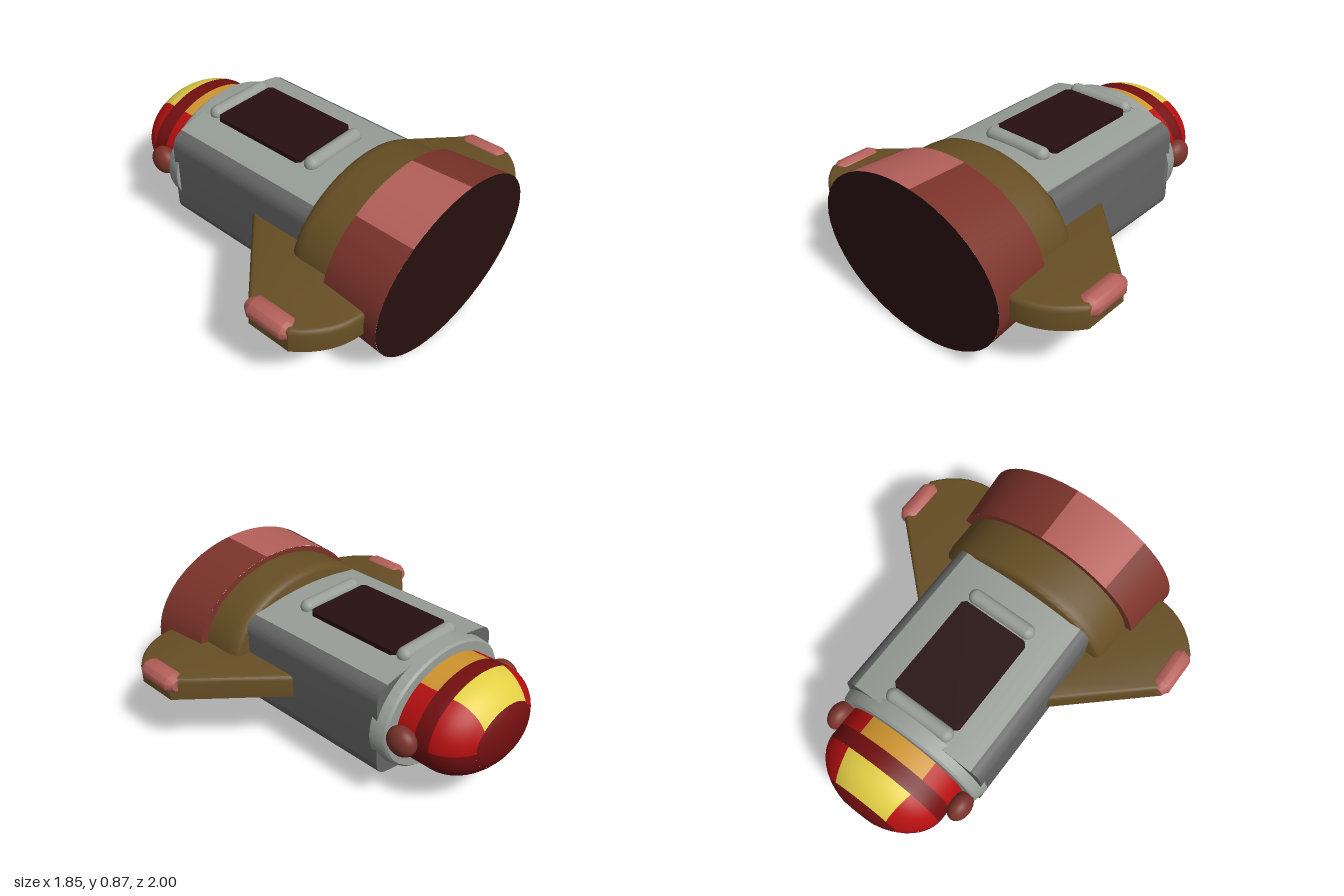
import * as THREE from 'three';
import { toCreasedNormals } from 'three/addons/utils/BufferGeometryUtils.js';

const paint = (name, color) => {
  const m = new THREE.MeshStandardMaterial({ color });
  m.name = name;
  return m;
};
const CY = 0.44; // height of the hull axis

// Skin of elliptical rings [z, rx, ry] in order of rising z, between angles from(z) and to(z)
function skin(rings, from = () => 0, to = () => Math.PI * 2, segs = 48) {
  const pos = [], index = [];
  for (const [z, rx, ry] of rings) {
    for (let j = 0; j <= segs; j++) {
      const t = from(z) + (to(z) - from(z)) * j / segs;
      pos.push(rx * Math.cos(t), CY + ry * Math.sin(t), z);
    }
  }
  const w = segs + 1;
  for (let i = 0; i < rings.length - 1; i++) {
    for (let j = 0; j < segs; j++) {
      const a = i * w + j, b = a + 1, c = b + w, d = a + w;
      index.push(a, b, c, a, c, d);
    }
  }
  const g = new THREE.BufferGeometry();
  g.setAttribute('position', new THREE.Float32BufferAttribute(pos, 3));
  g.setIndex(index);
  return toCreasedNormals(g, 0.6);
}

export function createModel() {
  const group = new THREE.Group();
  const mat = {
    lightGrey: paint('lightGrey', 0x989e98),
    darkGrey: paint('darkGrey', 0x646464),
    rust: paint('rust', 0x7a332a),
    pink: paint('pink', 0xb5605a),
    brown: paint('brown', 0x664e24),
    red: paint('red', 0xb50f10),
    darkRed: paint('darkRed', 0x720f10),
    yellow: paint('yellow', 0xe3cf45),
    orange: paint('orange', 0xcf942e),
    black: paint('black', 0x280f10),
  };
  const add = (name, geometry, material, x = 0, y = 0, z = 0) => {
    const m = new THREE.Mesh(geometry, material);
    m.name = name;
    m.position.set(x, y, z);
    group.add(m);
    return m;
  };
  const angle = (t) => () => t;

  // Flared nozzle with a pink patch above and below
  const flare = [[0.66, 0.575, 0.42], [1, 0.605, 0.435]];
  const p0 = Math.acos(0.07 / 0.59), p1 = Math.acos(-0.36 / 0.59), turn = Math.PI * 2;
  add('nozzleRightSide', skin(flare, angle(p1), angle(turn - p1)), mat.rust);
  add('nozzleLeftSide', skin(flare, angle(-p0), angle(p0)), mat.rust);
  add('nozzleTopPatch', skin(flare, angle(p0), angle(p1)), mat.pink);
  add('nozzleBottomPatch', skin(flare, angle(turn - p1), angle(turn - p0)), mat.pink);
  add('nozzleRim', skin([[0.66, 0, 0], [0.66, 0.575, 0.42]]), mat.rust);
  add('nozzleMouth', skin([[1, 0.605, 0.435], [1, 0, 0]]), mat.black);

  // Rounded collar
  add('collar', skin([[0.41, 0, 0], [0.41, 0.5, 0.355], [0.418, 0.517, 0.372], [0.44, 0.53, 0.385],
    [0.48, 0.535, 0.39], [0.67, 0.535, 0.39]]), mat.brown);

  // Hull with softly arched top and bottom
  const section = new THREE.Shape();
  section.moveTo(-0.37, 0.70);
  section.quadraticCurveTo(0, 0.785, 0.37, 0.70);
  section.quadraticCurveTo(0.435, 0.685, 0.435, 0.61);
  section.lineTo(0.435, 0.27);
  section.quadraticCurveTo(0.435, 0.195, 0.37, 0.18);
  section.quadraticCurveTo(0, 0.095, -0.37, 0.18);
  section.quadraticCurveTo(-0.435, 0.195, -0.435, 0.27);
  section.lineTo(-0.435, 0.61);
  section.quadraticCurveTo(-0.435, 0.685, -0.37, 0.70);
  const hull = new THREE.ExtrudeGeometry(section, { depth: 0.95, bevelEnabled: false, curveSegments: 16 });
  add('hull', toCreasedNormals(hull, 0.6), mat.darkGrey, 0, 0, -0.53);

  // Light roof panel laid over the arch
  const arch = new THREE.Shape();
  arch.moveTo(-0.37, 0.70);
  arch.quadraticCurveTo(0, 0.785, 0.37, 0.70);
  arch.lineTo(0.37, 0.706);
  arch.quadraticCurveTo(0, 0.791, -0.37, 0.706);
  const roof = new THREE.ExtrudeGeometry(arch, { depth: 0.95, bevelEnabled: false, curveSegments: 16 });
  add('roofPanel', toCreasedNormals(roof, 0.6), mat.lightGrey, 0, 0, -0.532);

  // Window with clipped corners, between two padded bars
  const pane = new THREE.Shape([[-0.205, -0.4], [-0.185, -0.42], [0.185, -0.42], [0.205, -0.4],
    [0.205, 0.15], [0.185, 0.17], [-0.185, 0.17], [-0.205, 0.15]].map(([x, z]) => new THREE.Vector2(x, -z)));
  const window = new THREE.ExtrudeGeometry(pane, { depth: 0.04, bevelEnabled: false });
  window.rotateX(-Math.PI / 2);
  add('window', window, mat.black, 0, 0.722, 0);
  for (const z of [-0.46, 0.225]) {
    const bar = new THREE.CapsuleGeometry(0.042, 0.326, 6, 14);
    bar.rotateZ(Math.PI / 2);
    add('roofBar', bar, mat.lightGrey, 0, 0.747, z);
  }

  // Flange between hull and dome
  add('flange', skin([[-0.592, 0, 0], [-0.592, 0.43, 0.315], [-0.58, 0.442, 0.325],
    [-0.5, 0.457, 0.332], [-0.5, 0, 0]]), mat.lightGrey);

  // Dome: dark base, coloured panels on the upper half
  const domeRings = (z0, z1, n = 8) => Array.from({ length: n + 1 }, (_, i) => {
    const z = z0 + (z1 - z0) * i / n;
    const u = Math.max(0, (-z - 0.76) / 0.25), f = Math.sqrt(1 - u * u);
    return [z, 0.365 * f, 0.268 * f];
  });
  const edge = (z) => {
    const x = 0.2 - 0.035 * Math.max(0, (-z - 0.79) / 0.17);
    const u = Math.max(0, (-z - 0.76) / 0.25);
    return Math.acos(x / (0.365 * Math.sqrt(1 - u * u)));
  };
  const edge2 = (z) => Math.PI - edge(z);
  const zero = angle(0), half = angle(Math.PI), full = angle(turn);
  add('domeUnderside', skin(domeRings(-0.96, -0.58, 16), half, full), mat.darkRed);
  add('domeBand', skin(domeRings(-0.79, -0.70), zero, half), mat.darkRed);
  add('domeCap', skin([[-1, 0, 0], ...domeRings(-1, -0.96)]), mat.darkRed);
  for (const [z0, z1, centre] of [[-0.96, -0.79, mat.yellow], [-0.70, -0.58, mat.orange]]) {
    const rings = domeRings(z0, z1);
    add('domeTopPanel', skin(rings, edge, edge2, 24), centre);
    add('domeLeftPanel', skin(rings, zero, edge, 16), mat.red);
    add('domeRightPanel', skin(rings, edge2, half, 16), mat.red);
  }

  // Fin outline, mirrored per side
  const finGeometry = (s) => {
    const outline = new THREE.Shape();
    outline.moveTo(0.3, -0.08);
    outline.lineTo(0.42, -0.08);
    outline.lineTo(0.88, -0.51);
    outline.lineTo(0.88, -0.74);
    outline.quadraticCurveTo(0.77, -0.89, 0.6, -0.905);
    outline.lineTo(0.3, -0.905);
    const pts = outline.getPoints(8).map((p) => new THREE.Vector2(p.x * s, p.y));
    const g = new THREE.ExtrudeGeometry(new THREE.Shape(pts),
      { depth: 0.1, bevelThickness: 0.025, bevelSize: 0.022, bevelSegments: 3 });
    // flatten the underside so that only the top edge is rounded
    const p = g.attributes.position;
    for (let i = 0; i < p.count; i++) p.setZ(i, Math.max(0, p.getZ(i)));
    g.rotateX(-Math.PI / 2);
    return toCreasedNormals(g, 0.6);
  };
  for (const s of [1, -1]) {
    const side = s > 0 ? 'left' : 'right';
    add(side + 'Fin', finGeometry(s), mat.brown, 0, 0.38, 0);

    // Faceted wing-tip pod
    const pod = new THREE.LatheGeometry([[0, -0.14], [0.036, -0.14], [0.063, -0.1], [0.063, 0.1],
      [0.036, 0.14], [0, 0.14]].map(([r, y]) => new THREE.Vector2(r, y)), 10);
    pod.rotateX(Math.PI / 2);
    add(side + 'Pod', toCreasedNormals(pod, 0.65), mat.pink, s * 0.863, 0.465, 0.61).scale.y = 0.9;

    // Knob beside the dome
    const knob = add(side + 'Knob', new THREE.SphereGeometry(1, 24, 16), mat.rust, s * 0.402, 0.46, -0.66);
    knob.scale.set(0.06, 0.08, 0.085);
  }
  return group;
}
